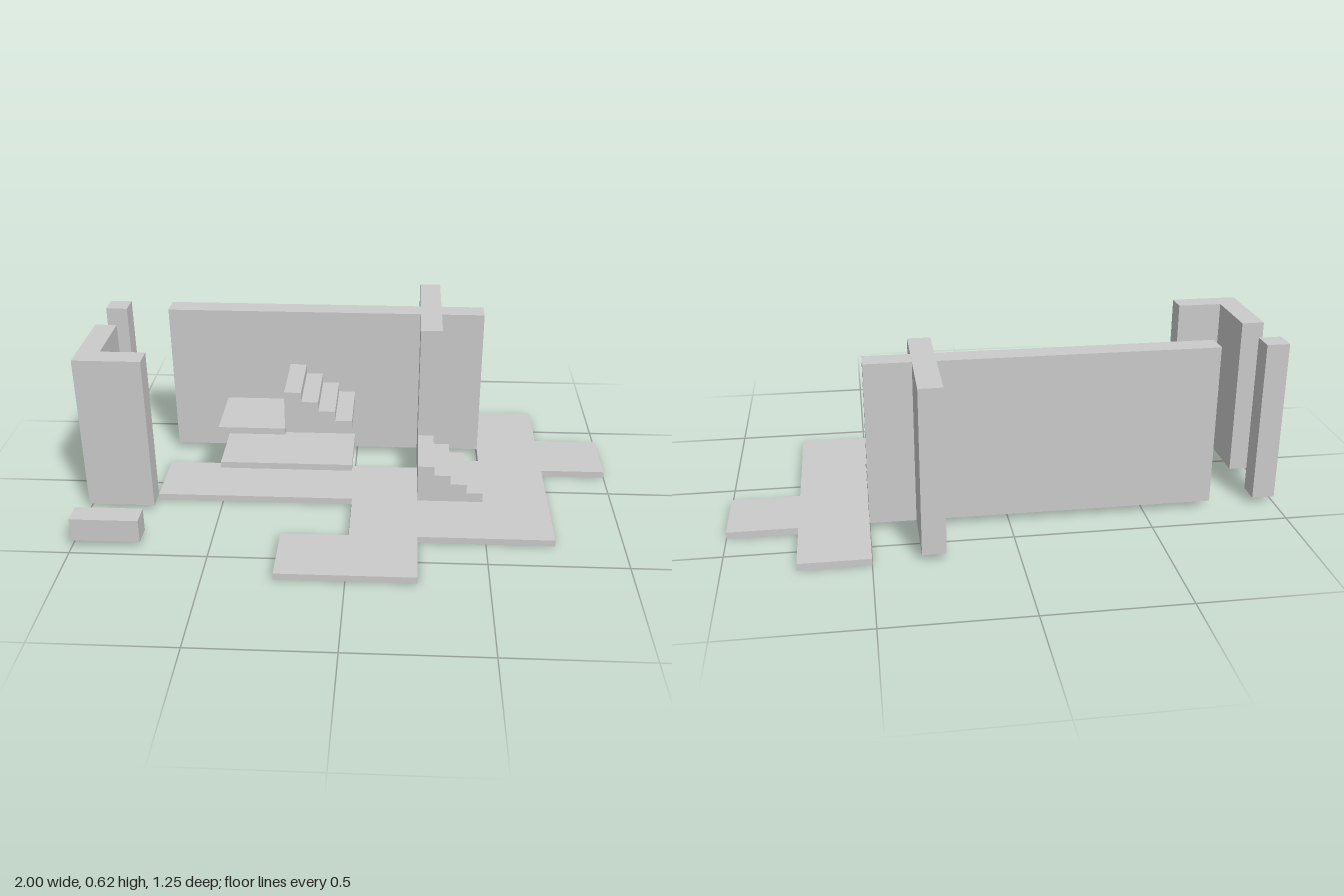
import * as THREE from 'three';

const material = new THREE.MeshStandardMaterial({ color: 0xcccccc, flatShading: true });
const U = 0.25;          // plan grid module
const T = U / 3;         // wall thickness
const FLOOR = 0.025;     // slab thickness
const WALL_TOP = 0.625;

function outline(points) {
  return new THREE.Shape(points.map(([x, y]) => new THREE.Vector2(x, y)));
}

function addMesh(group, name, geometry) {
  const mesh = new THREE.Mesh(geometry, material);
  mesh.name = name;
  group.add(mesh);
}

// Raise a floor-plan outline of [x, z] corners from y0 to y1
function addPlan(group, name, corners, y0, y1) {
  const shape = outline(corners.map(([x, z]) => [x, -z]));
  const geometry = new THREE.ExtrudeGeometry(shape, { depth: y1 - y0, bevelEnabled: false });
  geometry.rotateX(-Math.PI / 2).translate(0, y0, 0);
  addMesh(group, name, geometry);
}

function addBox(group, name, x0, x1, y0, y1, z0, z1) {
  const geometry = new THREE.BoxGeometry(x1 - x0, y1 - y0, z1 - z0);
  geometry.translate((x0 + x1) / 2, (y0 + y1) / 2, (z0 + z1) / 2);
  addMesh(group, name, geometry);
}

// Solid flight of four steps, one module long, descending towards +x
function addStairs(group, name, x0, y0) {
  const steps = 4, run = U / steps, rise = 0.0375;
  const points = [[x0, y0]];
  for (let i = 0; i < steps; i++) {
    const y = y0 + (steps - i) * rise;
    points.push([x0 + i * run, y], [x0 + (i + 1) * run, y]);
  }
  points.push([x0 + U, y0]);
  const geometry = new THREE.ExtrudeGeometry(outline(points), { depth: U, bevelEnabled: false });
  geometry.translate(0, 0, -U / 2);
  addMesh(group, name, geometry);
}

export function createModel() {
  const model = new THREE.Group();
  model.name = 'modularRooms';

  // Floor slab
  addPlan(model, 'floor', [
    [-0.75, -0.125], [0.5, -0.125], [0.5, -0.625], [0.75, -0.625],
    [0.75, -0.375], [1, -0.375], [1, -0.125], [0.75, -0.125],
    [0.75, 0.375], [0.25, 0.375], [0.25, 0.625], [-0.25, 0.625],
    [-0.25, 0.375], [0, 0.375], [0, 0.125], [-0.75, 0.125],
  ], 0, FLOOR);

  // Long back wall crossed by a short wall
  const wz0 = -0.375, wz1 = wz0 + T, cx0 = 0.25, cx1 = cx0 + T;
  addPlan(model, 'crossWall', [
    [-0.75, wz0], [cx0, wz0], [cx0, -0.625], [cx1, -0.625],
    [cx1, wz0], [0.5, wz0], [0.5, wz1], [cx1, wz1],
    [cx1, -0.125], [cx0, -0.125], [cx0, wz1], [-0.75, wz1],
  ], FLOOR, WALL_TOP);

  // Corner wall, post and low wall on the right-hand side
  addPlan(model, 'cornerWall', [
    [-1, -0.125], [-1 + T, -0.125], [-1 + T, 0.125],
    [-0.75, 0.125], [-0.75, 0.125 + T], [-1, 0.125 + T],
  ], FLOOR, WALL_TOP);
  addBox(model, 'post', -1, -1 + T, FLOOR, WALL_TOP, wz0, wz1);
  addBox(model, 'lowWall', -1, -0.75, FLOOR, 0.115, 0.375, 0.375 + T);

  // Raised platforms
  addBox(model, 'lowerPlatform', -0.5, 0, 0.15, 0.175, -0.125, 0.125);
  addBox(model, 'upperPlatform', -0.5, -0.25, 0.3, 0.325, -0.125, 0.125);

  // Stair flights
  addStairs(model, 'lowerStairs', 0.25, FLOOR);
  addStairs(model, 'upperStairs', -0.25, 0.325);

  return model;
}
